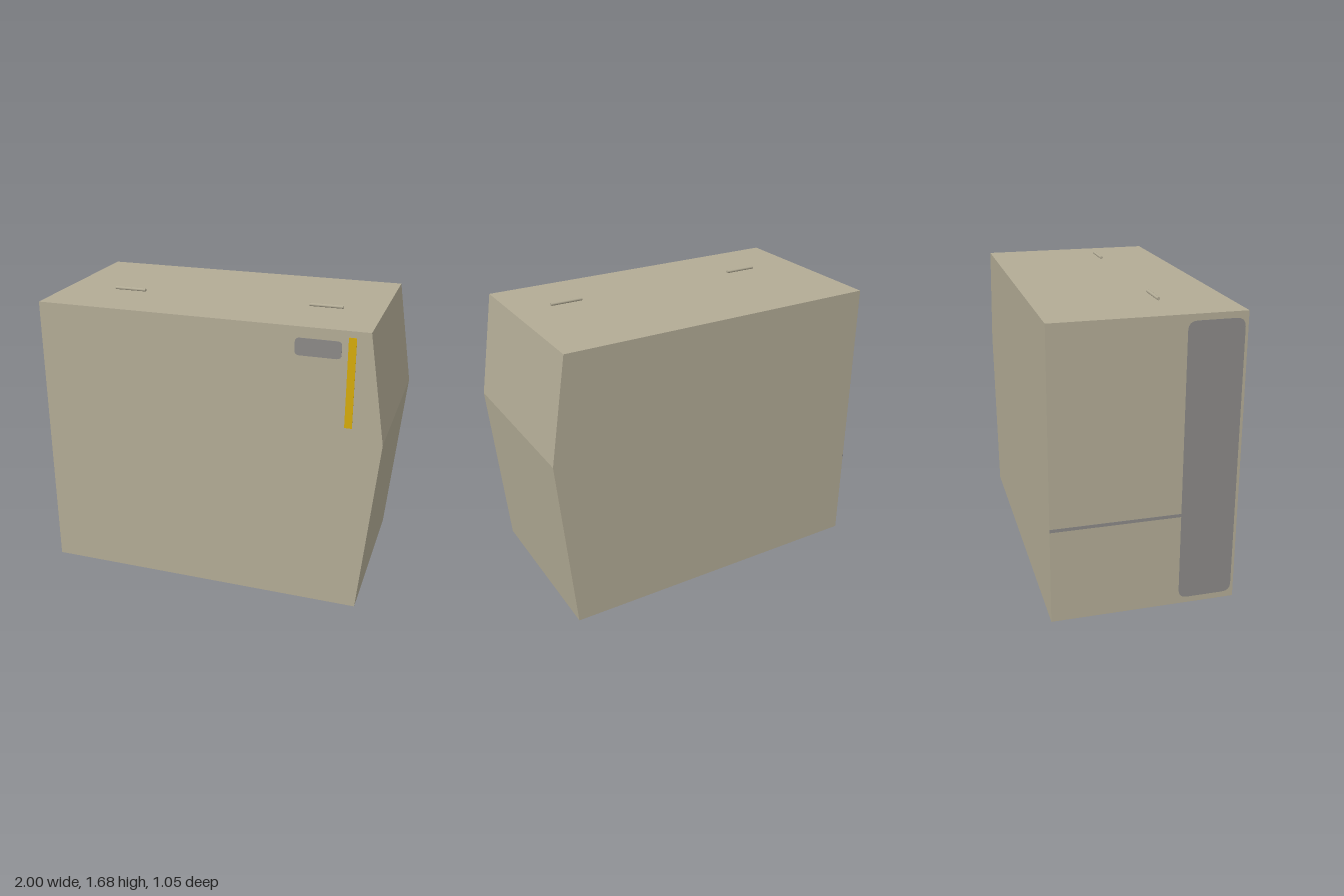
import * as THREE from 'three';

const casing = new THREE.MeshStandardMaterial({ color: 0xb2ab95, side: THREE.DoubleSide });
casing.name = 'beigeCasing';
const grey = new THREE.MeshStandardMaterial({ color: 0x8b8987 });
grey.name = 'panelGrey';
const yellow = new THREE.MeshStandardMaterial({ color: 0xd4aa0a });
yellow.name = 'stripeYellow';

const DEPTH = 0.524; // half depth of the casing
const HEIGHT = 1.663;
// Side outline, open along the bottom
const outline = [[0.904, 0], [1, 1.047], [0.904, HEIGHT], [-1, HEIGHT], [-1, 0]];

function add(group, name, geometry, material) {
  const mesh = new THREE.Mesh(geometry, material);
  mesh.name = name;
  group.add(mesh);
  return mesh;
}

// Thin plate with rounded corners, half sunk into the wall it sits on
function plate(x0, x1, y0, y1, r) {
  const s = new THREE.Shape();
  s.moveTo(x0 + r, y0);
  s.lineTo(x1 - r, y0);
  s.quadraticCurveTo(x1, y0, x1, y0 + r);
  s.lineTo(x1, y1 - r);
  s.quadraticCurveTo(x1, y1, x1 - r, y1);
  s.lineTo(x0 + r, y1);
  s.quadraticCurveTo(x0, y1, x0, y1 - r);
  s.lineTo(x0, y0 + r);
  s.quadraticCurveTo(x0, y0, x0 + r, y0);
  const depth = 0.005;
  return new THREE.ExtrudeGeometry(s, { depth, bevelEnabled: false, curveSegments: 4 })
    .translate(0, 0, -depth / 2);
}

export function createModel() {
  const model = new THREE.Group();
  model.name = 'cabinet';

  // Front and back walls
  const wallShape = new THREE.Shape(outline.map(([x, y]) => new THREE.Vector2(x, y)));
  add(model, 'frontWall', new THREE.ShapeGeometry(wallShape), casing).position.z = DEPTH;
  const back = new THREE.ShapeGeometry(wallShape).scale(-1, 1, 1);
  // Mirrored outline turned half round, so its corners face outwards
  back.setIndex(Array.from(back.index.array).reverse());
  back.computeVertexNormals();
  back.rotateY(Math.PI);
  add(model, 'backWall', back, casing).position.z = -DEPTH;

  // Bent side, top and flat side as one strip; the bottom stays open
  const strip = [];
  for (let i = 0; i < outline.length - 1; i++) {
    const [ax, ay] = outline[i];
    const [bx, by] = outline[i + 1];
    strip.push(ax, ay, DEPTH, ax, ay, -DEPTH, bx, by, -DEPTH);
    strip.push(ax, ay, DEPTH, bx, by, -DEPTH, bx, by, DEPTH);
  }
  const shell = new THREE.BufferGeometry();
  shell.setAttribute('position', new THREE.Float32BufferAttribute(strip, 3));
  shell.computeVertexNormals();
  add(model, 'sidesAndTop', shell, casing);

  // Rods lying on the top
  for (const x of [-0.6, 0.585]) {
    const rod = new THREE.CylinderGeometry(0.009, 0.009, 0.191, 16).rotateZ(Math.PI / 2);
    add(model, 'topRod', rod, casing).position.set(x, 1.675, 0.143);
  }

  // Front details
  add(model, 'frontBadge', plate(0.503, 0.754, 1.505, 1.602, 0.025), grey).position.z = DEPTH;
  add(model, 'frontStripe', plate(0.788, 0.83, 1.123, 1.628, 0.003), yellow).position.z = DEPTH;

  // Flat side details: tall panel and the seam running up to it
  const panel = plate(0.2, 0.508, 0.035, 1.628, 0.05).rotateY(-Math.PI / 2);
  add(model, 'sidePanel', panel, grey).position.x = -0.9985;
  const seam = plate(-DEPTH, 0.2, 0.541, 0.56, 0.001).rotateY(-Math.PI / 2);
  add(model, 'sideSeam', seam, grey).position.x = -0.9985;

  return model;
}
